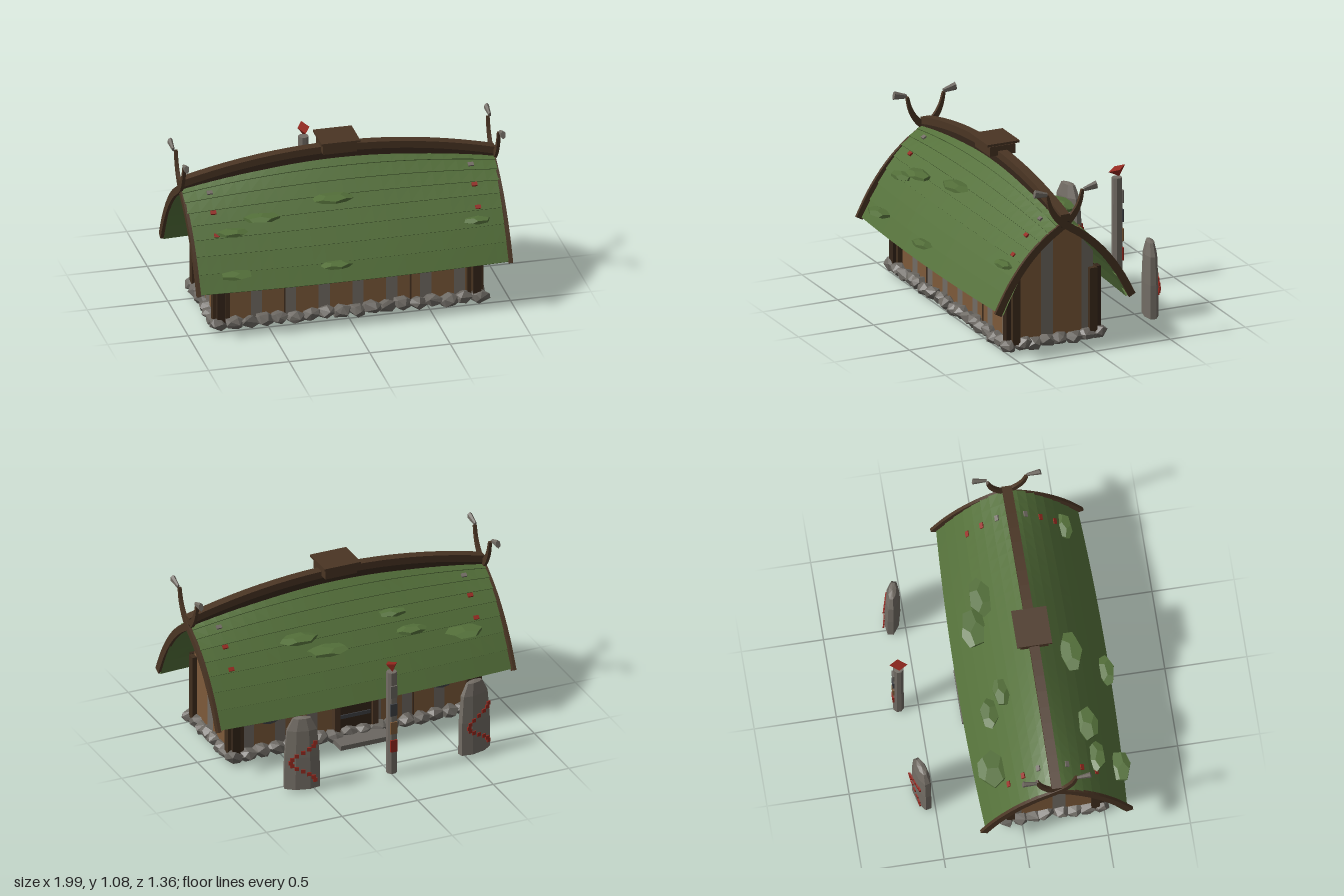
import * as THREE from 'three';
import { ConvexGeometry } from 'three/addons/geometries/ConvexGeometry.js';

const mat = (name, color, side = THREE.FrontSide) =>
  Object.assign(new THREE.MeshStandardMaterial({ color, side, flatShading: true }), { name });

export function createModel() {
  const M = {
    thatch: mat('thatchGreen', 0x54703a, THREE.DoubleSide),
    wood: mat('darkWood', 0x4a3524),
    post: mat('postWood', 0x402e1e),
    door: mat('doorWood', 0x35261a),
    plank: mat('plankTan', 0x7d5a3a),
    greyPlank: mat('weatheredGrey', 0x726c64),
    stone: mat('stone', 0x6b6761),
    iron: mat('iron', 0x404246),
    red: mat('paintRed', 0x94291f),
  };
  const model = new THREE.Group();
  const ZC = 0.19; // depth of the ridge line
  let seed = 7;
  const rnd = () => (seed = (seed * 16807) % 2147483647) / 2147483647;
  const add = (name, geo, m, x = 0, y = 0, z = 0, parent = model) => {
    const mesh = new THREE.Mesh(geo, m);
    mesh.name = name;
    mesh.position.set(x, y, z);
    parent.add(mesh);
    return mesh;
  };
  // box given by its limits
  const box = (name, m, x0, x1, y0, y1, z0, z1, parent) => add(name,
    new THREE.BoxGeometry(x1 - x0, y1 - y0, z1 - z0), m, (x0 + x1) / 2, (y0 + y1) / 2, (z0 + z1) / 2, parent);
  // extrude a shape drawn in (z, y) along x, centred on x = 0
  const sideExtrude = (shape, depth) => new THREE.ExtrudeGeometry(shape, { depth, bevelEnabled: false })
    .rotateY(-Math.PI / 2).translate(depth / 2, 0, 0);

  // roof cross-section: height fraction at distance d from the ridge; the middle rises only near the ridge
  const fall = d => 1 - 0.3 * d - 0.7 * d * d;
  const bow = x => 1 - (x / 0.97) ** 2;
  const roofPoint = (x, d, lift, s) => {
    const y = 0.32 + 0.53 * fall(d) + 0.11 * bow(x) * (1 - d) ** 3, z = d * (0.422 + 0.03 * bow(x));
    const ny = 0.85 - 0.35 * d, nz = 0.45 + 0.4 * d;
    return [x, y + lift * ny, ZC + s * (z + lift * nz)];
  };

  // thatch in overlapping courses, one sheet per slope
  const COURSES = 8, NX = 24;
  const rows = [];
  for (let i = 0; i < COURSES; i++) rows.push([i / COURSES, 0.004], [(i + 1) / COURSES, 0.011]);
  for (let i = COURSES; i >= 0; i--) rows.push([i / COURSES, -0.015]);
  for (const s of [1, -1]) {
    const pos = [], idx = [];
    rows.forEach(([d, lift]) => {
      for (let k = 0; k <= NX; k++) pos.push(...roofPoint(-0.97 + 1.94 * k / NX, d, lift, s));
    });
    for (let r = 0; r < rows.length - 1; r++) for (let k = 0; k < NX; k++) {
      const a = r * (NX + 1) + k, b = a + 1, c = a + NX + 1, e = c + 1;
      if (s > 0) idx.push(a, c, b, b, c, e); else idx.push(a, b, c, b, e, c);
    }
    const g = new THREE.BufferGeometry();
    g.setAttribute('position', new THREE.Float32BufferAttribute(pos, 3));
    g.setIndex(idx);
    g.computeVertexNormals();
    add(s > 0 ? 'frontRoof' : 'backRoof', g, M.thatch);
    // pegs near both ends of the slope
    for (const x of [-0.81, 0.81]) [0.19, 0.4, 0.6].forEach((d, i) => {
      const p = add('roofPeg', new THREE.BoxGeometry(0.034, 0.014, 0.024), i ? M.red : M.greyPlank, ...roofPoint(x, d, 0.01, s));
      p.rotation.x = s * (0.45 + 0.5 * d);
    });
  }

  // flat tufts growing from the thatch: x, y, z, half width, half depth
  [[-0.08, 0.775, 0.415, 0.13, 0.075], [-0.53, 0.71, 0.445, 0.12, 0.068], [-0.72, 0.645, 0.47, 0.1, 0.06],
    [0.79, 0.57, 0.51, 0.09, 0.05], [-0.73, 0.43, 0.615, 0.11, 0.065], [-0.11, 0.43, 0.625, 0.1, 0.055],
    [-0.69, 0.6, -0.155, 0.13, 0.095], [-0.36, 0.67, -0.125, 0.1, 0.06], [-0.27, 0.765, -0.04, 0.1, 0.05],
    [0.2, 0.655, -0.135, 0.14, 0.08], [0.36, 0.735, -0.07, 0.13, 0.075],
  ].forEach(([x, y, z, w, d], i) => {
    const g = new THREE.DodecahedronGeometry(1, 0).rotateY(i * 1.3).scale(w, 0.02, d);
    add('thatchTuft', g, M.thatch, x, y, z);
  });

  // arched ridge beam with a darker cap board under it
  const arch = (y0, rise, thick, depth) => {
    const top = [], low = [];
    for (let k = 0; k <= 20; k++) {
      const x = -0.98 + 0.098 * k, y = y0 + rise * (1 - (x / 0.98) ** 2);
      top.unshift(new THREE.Vector2(x, y));
      low.push(new THREE.Vector2(x, y - thick));
    }
    return new THREE.ExtrudeGeometry(new THREE.Shape([...low, ...top]), { depth, bevelEnabled: false })
      .translate(0, 0, ZC - depth / 2);
  };
  add('ridgeBeam', arch(0.9, 0.13, 0.045, 0.06), M.wood);
  add('ridgeCap', arch(0.86, 0.125, 0.04, 0.056), M.door);

  // smoke vent: open box and lid on corner pegs
  const v = new THREE.Group();
  v.name = 'smokeVent';
  model.add(v);
  for (const s of [-1, 1]) {
    box('ventSide', M.wood, -0.105, 0.105, 1, 1.06, ZC + s * 0.077 - 0.008, ZC + s * 0.077 + 0.008, v);
    box('ventEnd', M.wood, s * 0.097 - 0.008, s * 0.097 + 0.008, 1, 1.06, ZC - 0.069, ZC + 0.069, v);
    for (const t of [-1, 1]) box('ventPeg', M.door, s * 0.09 - 0.008, s * 0.09 + 0.008, 1.05, 1.07, ZC + t * 0.07 - 0.008, ZC + t * 0.07 + 0.008, v);
  }
  box('ventLid', M.wood, -0.12, 0.12, 1.068, 1.082, ZC - 0.107, ZC + 0.107, v);

  // crossed barge boards that curl up into tipped horns
  const boardShape = s => {
    const path = new THREE.SplineCurve([[-0.445, 0.32], [-0.36, 0.48], [-0.25, 0.63], [-0.13, 0.745], [0, 0.835],
      [0.06, 0.89], [0.1, 0.96], [0.12, 1.04]].map(p => new THREE.Vector2(...p)));
    const a = [], b = [];
    for (let k = 0; k <= 24; k++) {
      const t = k / 24, p = path.getPoint(t), q = path.getTangent(t), w = t < 0.6 ? 0.023 : 0.023 - 0.038 * (t - 0.6);
      a.push(new THREE.Vector2(ZC + s * (p.x - q.y * w), p.y + q.x * w));
      b.unshift(new THREE.Vector2(ZC + s * (p.x + q.y * w), p.y - q.x * w));
    }
    return new THREE.Shape([...a, ...b]);
  };
  for (const end of [-1, 1]) for (const s of [-1, 1]) {
    add('bargeBoard', sideExtrude(boardShape(s), 0.02), M.wood, end * (0.972 + s * 0.004), 0, 0);
    const tip = new THREE.CylinderGeometry(0.027, 0.014, 0.085, 6).scale(0.6, 1, 1).rotateX(s * 1.36);
    add('hornTip', tip, M.greyPlank, end * 0.982, 1.052, ZC + s * 0.165);
  }

  // long walls in vertical planks; every third is weathered grey
  for (const z of [0.445, -0.065]) for (let i = 0; i < 23; i++) {
    const x0 = Math.max(-0.79, -0.81 + i * 0.07), x1 = Math.min(0.79, -0.74 + i * 0.07);
    box('wallPlank', i % 3 ? M.plank : M.greyPlank, x0, x1, 0.04, 0.55, z - 0.01, z + 0.01);
  }
  for (const x of [-0.39, 0.39]) for (const z of [0.457, -0.077]) box('wallBatten', M.wood, x - 0.005, x + 0.005, 0.06, 0.55, z - 0.005, z + 0.005);

  // gable walls with arched tops
  const gableTop = z => 0.3 + 0.5 * fall(Math.abs(z - ZC) / 0.43);
  const bands = [[0.455, 0.27, M.plank], [0.27, ZC, M.greyPlank], [ZC, 0, M.plank], [0, -0.075, M.greyPlank]];
  for (const end of [-1, 1]) for (const [z1, z0, m] of bands) {
    const pts = [new THREE.Vector2(z0, 0.04), new THREE.Vector2(z1, 0.04)];
    for (let k = 0; k <= 6; k++) {
      const z = z1 + (z0 - z1) * k / 6;
      pts.push(new THREE.Vector2(z, gableTop(z)));
    }
    add('gableWall', sideExtrude(new THREE.Shape(pts), 0.02), m, end * 0.8);
  }

  // corner posts, each a cluster of timbers
  for (const x of [-1, 1]) for (const s of [-1, 1]) {
    const timber = (name, m, cx, cz, w, d) => box(name, m, x * cx - w / 2, x * cx + w / 2, 0.06, 0.475, ZC + s * cz - d / 2, ZC + s * cz + d / 2);
    timber('cornerPost', M.post, 0.81, 0.258, 0.06, 0.05);
    timber('outerPost', M.door, 0.795, 0.3, 0.05, 0.028);
    timber('sidePost', M.post, 0.75, 0.28, 0.024, 0.03);
  }

  // foundation of rough angular boulders
  const boulder = (x, z, alongX) => {
    const pts = [];
    for (let k = 0; k < 15; k++) {
      const p = new THREE.Vector3().setFromSphericalCoords(1, Math.acos(1 - 2 * (k + 0.5) / 15), k * 2.4 + rnd());
      const long = 0.06 + 0.01 * rnd(), short = 0.05 + 0.012 * rnd();
      pts.push(p.multiply(new THREE.Vector3(alongX ? long : short, 0.043, alongX ? short : long)));
    }
    const m = add('foundationStone', new ConvexGeometry(pts), M.stone, x, 0.052 + 0.014 * (rnd() - 0.5), z + 0.02 * (rnd() - 0.5));
    m.rotation.set(0.5 * (rnd() - 0.5), 0.5 * (rnd() - 0.5), 0.6 * (rnd() - 0.5));
  };
  for (let i = 0; i < 18; i++) for (const z of [0.485, -0.105]) boulder(-0.81 + 1.62 * i / 17, z, true);
  for (let i = 1; i < 7; i++) for (const x of [-0.815, 0.815]) boulder(x, -0.105 + 0.59 * i / 7, false);

  // doorway and step at the back
  box('door', M.door, -0.11, 0.11, 0.07, 0.42, -0.095, -0.075);
  for (const s of [-1, 1]) box('doorPost', M.wood, s * 0.125 - 0.018, s * 0.125 + 0.018, 0.05, 0.44, -0.12, -0.07);
  box('lintel', M.wood, -0.16, 0.16, 0.42, 0.46, -0.125, -0.07);
  for (const y of [0.16, 0.33]) box('doorBand', M.iron, -0.1, 0.1, y - 0.012, y + 0.012, -0.101, -0.094);
  box('doorStep', M.stone, -0.17, 0.17, 0.025, 0.055, -0.26, -0.13);

  // round shields on the back wall
  for (const s of [-1, 1]) {
    const g = new THREE.Group();
    g.name = 'shield';
    g.position.set(s * 0.57, 0.325, -0.1);
    g.rotation.x = -Math.PI / 2;
    model.add(g);
    add('shieldDisc', new THREE.CylinderGeometry(0.1, 0.1, 0.03, 16), M.iron, 0, 0, 0, g);
    for (let k = 0; k < 4; k++) add('shieldWedge', new THREE.CylinderGeometry(0.08, 0.08, 0.006, 4, 1, false, k * Math.PI / 2, Math.PI / 4),
      s < 0 ? M.red : M.greyPlank, 0, 0.014, 0, g);
    add('shieldBoss', new THREE.SphereGeometry(0.026, 8, 6), M.iron, 0, 0.022, 0, g);
  }

  // standing stones with a painted winding line
  const profile = [[0, 0], [0.5, 0], [0.49, 0.45], [0.42, 0.82], [0.25, 0.98], [0, 1]].map(p => new THREE.Vector2(...p));
  for (const s of [-1, 1]) {
    const g = new THREE.Group();
    g.name = 'standingStone';
    g.position.set(s * 0.57, 0.02, -0.57);
    g.rotation.y = -s * 0.25;
    model.add(g);
    add('stoneBody', new THREE.LatheGeometry(profile, 8).rotateY(Math.PI / 8).scale(0.235, 0.475, 0.095), M.greyPlank, 0, 0, 0, g);
    for (let k = 0; k < 13; k++) add('paintedMark', new THREE.BoxGeometry(0.026, 0.024, 0.009), M.red,
      -0.075 * Math.cos(k * Math.PI / 6), 0.06 + k * 0.021, -0.045, g);
  }

  // carved post with plates and a red finial
  add('post', new THREE.CylinderGeometry(0.032, 0.034, 0.68, 8).rotateY(Math.PI / 8), M.greyPlank, 0, 0.36, -0.622);
  [M.red, M.plank, M.iron, M.stone].forEach((m, i) => {
    const y = 0.21 + i * 0.122;
    box('postPlate', m, -0.022, 0.022, y - 0.04, y + 0.04, -0.66, -0.65);
  });
  const finial = new THREE.ConeGeometry(0.058, 0.055, 4).rotateX(Math.PI).scale(0.64, 1, 1);
  add('postFinial', finial, M.red, 0, 0.73, -0.63).rotation.x = 0.3;

  return model;
}
